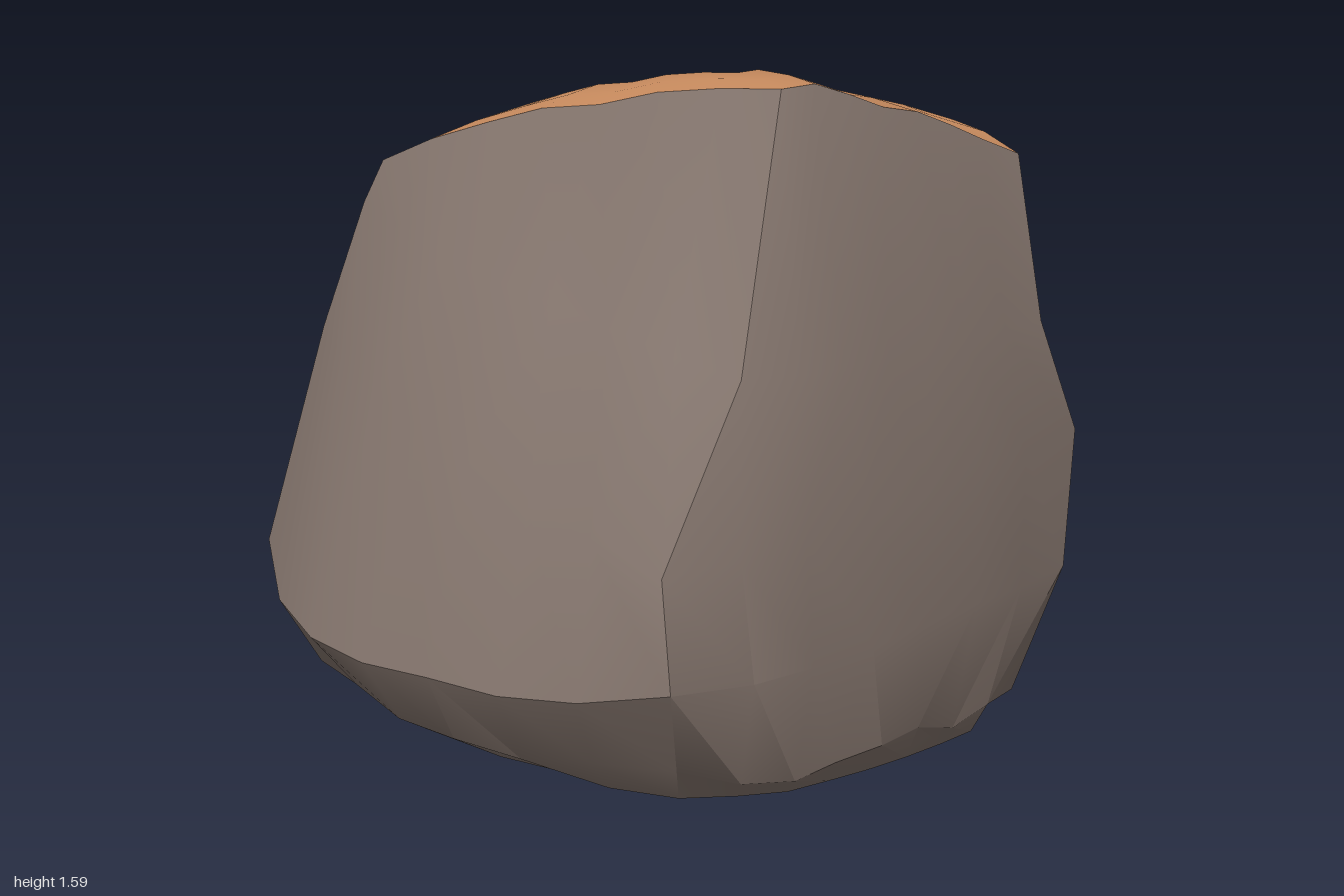
import * as THREE from 'three';
import { toCreasedNormals } from 'three/addons/utils/BufferGeometryUtils.js';

const STEPS = 7; // columns across each cleaved face

// Ridges counter-clockwise from above; each runs rim, upper, middle, low, edge, foot
const front = [[.18, 1.585, .49], [.02, 1, .79], [-.19, .61, .945], [-.18, .36, .99], [-.14, .14, .87], [-.12, .05, .8]];
const rightFront = [[.79, 1.39, .33], [.84, 1, .38], [.95, .72, .33], [.91, .4, .39], [.68, .12, .54], [.68, .01, .42]];
const rightBack = [[.57, 1.28, -.64], [.77, .95, -.61], [.86, .65, -.67], [.88, .4, -.69], [.83, .1, -.68], [.7, .04, -.62]];
const back = [[.28, 1.06, -.99], [.28, .98, -1], [.28, .7, -1], [.25, .4, -.93], [.2, .12, -.84], [.16, .05, -.77]];
const left = [[-.6, 1.3, -.4], [-.65, 1.2, -.39], [-.76, .9, -.36], [-.92, .39, -.26], [-.82, .2, -.22], [-.64, .06, -.22]];

// Faces between ridges: outward bulge and upward lift for every level;
// skew under 1 moves the peak towards the first ridge, over 1 towards the second
const faces = [
  { name: 'frontRightFace', a: front, b: rightFront, skew: .65, bulge: [-.01, .04, .06, .08, .09, .07], lift: [.03, 0, 0, 0, -.02, -.01] },
  { name: 'rightFace', a: rightFront, b: rightBack, skew: .8, bulge: [-.02, .02, .02, .04, .12, .1], lift: [.07, .02, 0, 0, -.02, -.01] },
  { name: 'backRightFace', a: rightBack, b: back, skew: 1, bulge: [-.05, 0, -.01, .01, .02, .03], lift: [0, .03, 0, 0, 0, 0] },
  { name: 'backLeftFace', a: back, b: left, skew: 1.35, bulge: [-.02, .11, .15, .15, .12, .09], lift: [.02, 0, 0, 0, -.05, -.01] },
  { name: 'frontLeftFace', a: left, b: front, skew: .8, bulge: [.01, .07, .11, .19, .18, .13], lift: [.05, 0, 0, -.1, -.05, -.02] },
];

// Seeded roughness in -1..1
function rough(n) {
  const s = Math.sin(n * 127.1 + 3.7) * 43758.5453;
  return (s - Math.floor(s)) * 2 - 1;
}

// Point on a face: straight between its ridges, then bulged and roughened
function facePoint(face, f, level, j) {
  const t = j / STEPS;
  const p = new THREE.Vector3(...face.a[level]);
  const q = new THREE.Vector3(...face.b[level]);
  const out = new THREE.Vector3(p.z - q.z, 0, q.x - p.x).normalize();
  const arch = Math.pow(Math.max(0, Math.sin(Math.PI * Math.pow(t, face.skew))), .75);
  const seed = f * 61 + level * 11 + j;
  const inner = j > 0 && j < STEPS ? 1 : 0;
  p.lerp(q, t).addScaledVector(out, face.bulge[level] * arch + inner * .01 * rough(seed));
  p.y += face.lift[level] * arch + inner * (level === 4 ? .02 : .008) * rough(seed + 500);
  p.y = Math.max(0, p.y);
  return p;
}

// Skin over rows of points, sharp only at strong creases
function skin(rows, crease) {
  const index = [], width = rows[0].length;
  for (let i = 0; i < rows.length - 1; i++) {
    for (let j = 0; j < width - 1; j++) {
      const a = i * width + j, b = a + width;
      index.push(a, b, b + 1, a, b + 1, a + 1);
    }
  }
  const geometry = new THREE.BufferGeometry().setFromPoints(rows.flat());
  geometry.setIndex(index);
  return toCreasedNormals(geometry, crease);
}

// Fan cap from a centre to a ring, with a domed profile
function cap(ring, centre, dome) {
  const rows = [];
  for (const s of [.001, .3, .6, .82, 1]) {
    rows.push(ring.map((r) => {
      const p = centre.clone().lerp(r, s);
      p.y += dome * Math.sin(Math.PI * s);
      return p;
    }));
  }
  return skin(rows, 1.0);
}

export function createModel() {
  const model = new THREE.Group();
  model.name = 'rock';
  const stone = new THREE.MeshStandardMaterial({ color: 0x82736b });
  stone.name = 'grey brown stone';
  const clay = new THREE.MeshStandardMaterial({ color: 0xc88b5e });
  clay.name = 'orange clay';

  const add = (name, geometry, material) => {
    const mesh = new THREE.Mesh(geometry, material);
    mesh.name = name;
    model.add(mesh);
  };

  // Cleaved sides
  const rim = [], foot = [];
  faces.forEach((face, f) => {
    const rows = face.a.map((_, level) =>
      Array.from({ length: STEPS + 1 }, (_, j) => facePoint(face, f, level, j)));
    add(face.name, skin(rows, .6), stone);
    rim.push(...rows[0].slice(0, STEPS));
    foot.push(...rows[5].slice(0, STEPS));
  });
  rim.push(rim[0].clone());
  foot.push(foot[0].clone());

  // Sloping top and flat underside
  add('top', cap(rim, new THREE.Vector3(.1, 1.46, -.2), .05), clay);
  add('underside', cap(foot.reverse(), new THREE.Vector3(.05, .02, 0), 0), stone);
  return model;
}
